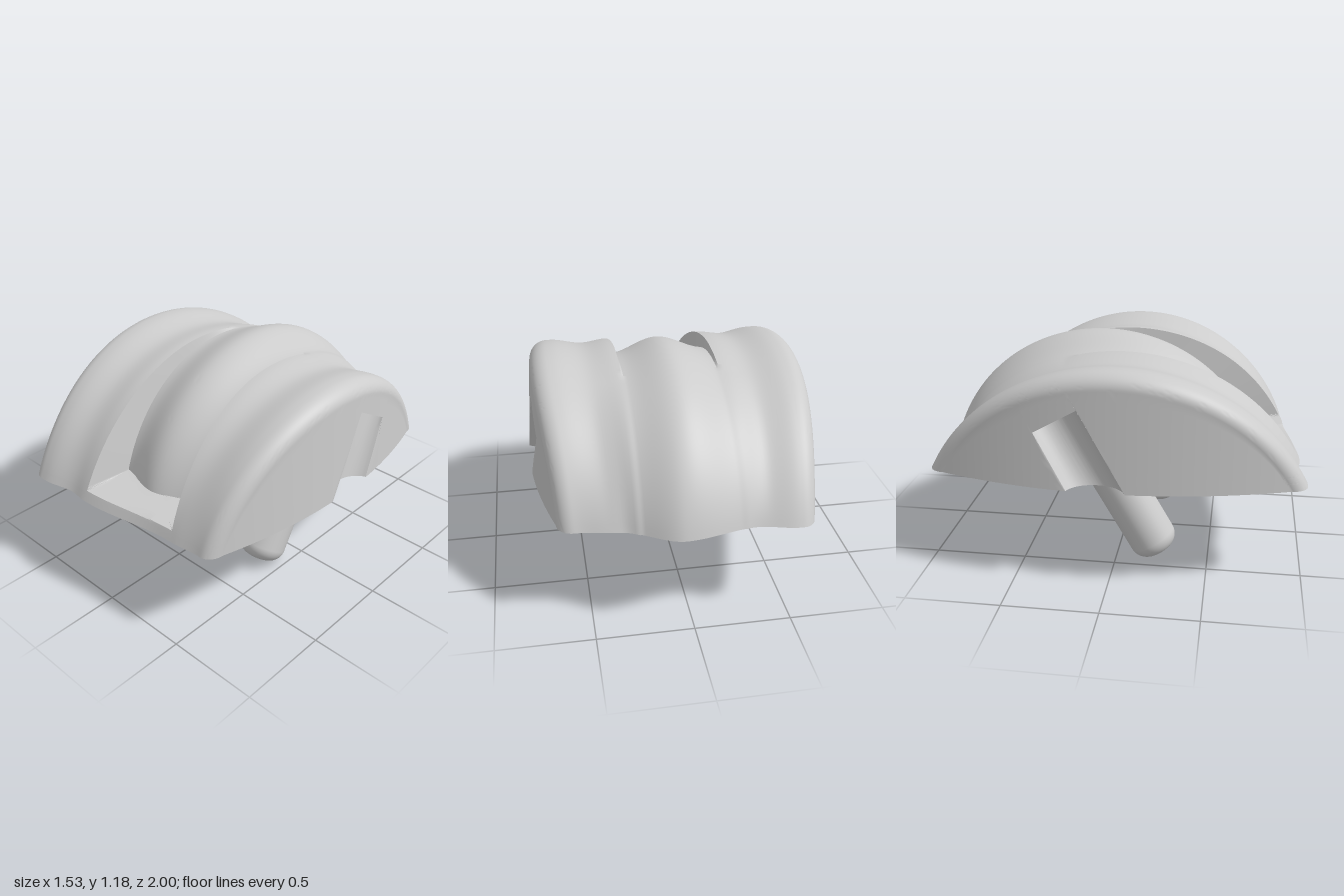
import * as THREE from 'three';
import { mergeGeometries, toCreasedNormals } from 'three/addons/utils/BufferGeometryUtils.js';

const BASE = 0.54, SHELF = 0.05, AXIS_Z = -0.055;
const TILT = Math.PI / 6, COS = Math.cos(TILT), SIN = Math.sin(TILT), TAN = Math.tan(TILT);

// Smooth interpolation between [x, value] keys
function key(pts, x) {
  if (x <= pts[0][0]) return pts[0][1];
  for (let i = 1; i < pts.length; i++) {
    if (x > pts[i][0]) continue;
    const [x0, a] = pts[i - 1], [x1, b] = pts[i];
    return THREE.MathUtils.lerp(a, b, THREE.MathUtils.smoothstep(x, x0, x1));
  }
  return pts[pts.length - 1][1];
}
const BACK = [[-0.62, -0.975], [-0.33, -0.935], [0.05, -1], [0.36, -0.875], [0.62, -0.845]];
const FRONT = [[-0.6, 1], [-0.33, 0.965], [-0.2, 0.975], [0.4, 0.9], [0.62, 0.885]];
const TOP = [[-0.62, 1.145], [-0.43, 1.115], [-0.27, 1.135], [0.27, 1.135], [0.43, 1.115], [0.62, 1.145]];
const MID_FRONT = [[-0.2, 0.69], [0.05, 0.745], [0.3, 0.66]];
const MID_TOP = [[-0.27, 1.105], [0, 1.185], [0.27, 1.105]];

// Distance from the base centre line to the arc over (zB, zF, top); angle 0 is the back, PI the front
function arcRadius(zB, zF, top, a) {
  const c = (zB + zF) / 2, w = (zF - zB) / 2, h = top - BASE;
  const r = (w * w + h * h) / (2 * h), cy = h - r;
  const b = -Math.cos(a) * c + Math.sin(a) * cy;
  return b + Math.sqrt(b * b - c * c - cy * cy + r * r);
}
const outerR = (x, a) => arcRadius(key(BACK, x), key(FRONT, x), key(TOP, x), a);
const middleR = (x, a) => arcRadius(key(BACK, x), key(MID_FRONT, x), key(MID_TOP, x), a);
const at = (x, r, a) => new THREE.Vector3(x, BASE + r * Math.sin(a), -r * Math.cos(a));
const flare = (a) => (a > Math.PI / 2 ? 1 - Math.sin(a) : 0);
const halfWidth = (y, z) => 0.765 - 0.07 * (y - BASE) - 0.17 * (z / 0.95) ** 2;

// Middle saddle, ending at the front in a flat shelf
function middlePoint(k, a) {
  const f = flare(a), x = THREE.MathUtils.lerp(-0.25 + 0.07 * f, 0.25 + 0.06 * f, k);
  let r = middleR(x, a);
  if (a > Math.PI / 2) r = Math.max(r, Math.min(SHELF / Math.max(Math.sin(a), 1e-6), outerR(x, a)));
  return at(x, r, a);
}

// Outer lobe from the slot edge (s = 0) to the rounded shoulder (s = 1)
function lobePoint(side, s, a) {
  const edge = side > 0 ? 0.26 + 0.12 * flare(a) : -0.26 + 0.07 * flare(a);
  const xn = THREE.MathUtils.lerp(edge, side * 0.74, s);
  const rim = at(0, outerR(side * 0.74, a) - 0.085, a);
  const x = THREE.MathUtils.lerp(edge, side * halfWidth(rim.y, rim.z), s);
  const q = THREE.MathUtils.clamp((Math.abs(xn) - 0.64) / 0.1, 0, 1);
  let r = outerR(xn, a);
  const lift = Math.max(0, middleR(side * 0.25, a) - outerR(edge, a));
  r += lift * (1 - THREE.MathUtils.smoothstep(s, 0, 0.4)) - 0.085 * (1 - Math.sqrt(1 - q * q));
  return at(x, r, a);
}

// Angles at which the edges of the side groove meet the shoulder
function grooveAngle(side, z0) {
  let lo = 0, hi = 2;
  for (let i = 0; i < 40; i++) {
    const m = (lo + hi) / 2, p = lobePoint(side, 1, m);
    if (p.z + (p.y - BASE) * TAN < z0) lo = m; else hi = m;
  }
  return lo;
}

// Side wall column from the shoulder down to the base, with the tilted groove
function wallColumn(side, a, [ga, gb]) {
  const top = lobePoint(side, 1, a), zEdge = 0.15;
  const inside = a >= ga - 1e-9 && a <= gb + 1e-9;
  let z0;
  if (inside) z0 = top.z + (top.y - BASE) * TAN;
  else if (a < ga) z0 = THREE.MathUtils.lerp(lobePoint(side, 1, 0).z, AXIS_Z - zEdge, a / ga);
  else z0 = THREE.MathUtils.lerp(AXIS_Z + zEdge, lobePoint(side, 1, Math.PI).z, (a - gb) / (Math.PI - gb));
  const foot = new THREE.Vector3(0, BASE, z0);
  const len = Math.hypot(top.y - BASE, top.z - z0);
  const stop = inside ? (0.41 + SIN * (z0 - AXIS_Z)) / len : 0.5;
  const d = (z0 - AXIS_Z) * COS;
  const depth = inside ? Math.max(0, Math.sqrt(Math.max(0, 0.135 ** 2 - d * d)) - 0.035) : 0;
  const col = [];
  const add = (t, cut) => {
    const p = foot.clone().lerp(top, t);
    p.x = side * (halfWidth(p.y, p.z) - cut);
    col.push(p);
  };
  for (let i = 1; i <= 5; i++) add(THREE.MathUtils.lerp(1, stop, i / 5), 0);
  for (let i = 0; i <= 5; i++) add(stop * (1 - i / 5), depth);
  return col;
}

// Surface through equally long columns of points
function skin(cols, flip) {
  const n = cols[0].length, index = [];
  for (let i = 0; i < cols.length - 1; i++) for (let j = 0; j < n - 1; j++) {
    const a = i * n + j, b = a + n, c = b + 1, d = a + 1;
    index.push(...(flip ? [a, c, b, a, d, c] : [a, b, c, a, c, d]));
  }
  const g = new THREE.BufferGeometry().setFromPoints(cols.flat());
  g.setIndex(index);
  return g;
}
const steps = (n, f) => Array.from({ length: n + 1 }, (_, i) => f(i / n));

export function createModel() {
  const group = new THREE.Group();
  const grey = new THREE.MeshStandardMaterial({ color: 0xcccccc });
  const addMesh = (geometry, name, material = grey) => {
    const m = new THREE.Mesh(geometry, material);
    m.name = name;
    group.add(m);
    return m;
  };

  // Shared angles, denser at the grooves and the shelf
  const grooves = {};
  for (const s of [1, -1]) grooves[s] = [grooveAngle(s, AXIS_Z - 0.15), grooveAngle(s, AXIS_Z + 0.15)];
  const angles = [
    ...steps(80, (t) => t * Math.PI),
    ...steps(12, (t) => Math.PI - 0.09 + 0.045 * t),
    ...[1, -1].flatMap((s) => steps(16, (t) => THREE.MathUtils.lerp(...grooves[s], t))),
  ].sort((a, b) => a - b);

  // Body: middle saddle, and per side the slot wall, lobe and side wall
  const across = steps(28, (k) => k);
  const out = steps(30, (k) => Math.sin(k * Math.PI / 2));
  const parts = [skin(angles.map((a) => across.map((k) => middlePoint(k, a))), false)];
  const feet = {};
  for (const s of [1, -1]) {
    const cols = angles.map((a) => [
      middlePoint(s > 0 ? 1 : 0, a),
      ...out.map((k) => lobePoint(s, k, a)),
      ...wallColumn(s, a, grooves[s]),
    ]);
    feet[s] = cols.map((c) => c[c.length - 1]);
    parts.push(skin(cols, s < 0));
  }

  // Flat underside with two openings for the pins
  const rim = (a) => [
    ...[...out].reverse().map((k) => lobePoint(1, k, a)),
    ...[...across].reverse().map((k) => middlePoint(k, a)),
    ...out.map((k) => lobePoint(-1, k, a)),
  ];
  const outline = [...feet[1], ...rim(Math.PI), ...feet[-1].reverse(), ...rim(0).reverse()];
  const clean = outline.filter((p, i) => i === 0 || Math.hypot(p.x - outline[i - 1].x, p.z - outline[i - 1].z) > 1e-4);
  const shape = new THREE.Shape(clean.map((p) => new THREE.Vector2(p.x, p.z)));
  for (const s of [1, -1]) {
    shape.holes.push(new THREE.Path().absellipse(s * 0.37, AXIS_Z, 0.17, 0.19, 0, Math.PI * 2, true));
  }
  const under = new THREE.ShapeGeometry(shape, 24).rotateX(Math.PI / 2).translate(0, BASE, 0);
  under.deleteAttribute('normal');
  under.deleteAttribute('uv');
  parts.push(under);
  addMesh(toCreasedNormals(mergeGeometries(parts), 0.6), 'body');

  // Tilted pins with rounded ends, set in tapered sockets
  const length = 0.762, profile = [new THREE.Vector2(0, 0)];
  for (const v of steps(10, (t) => t * Math.PI / 2)) {
    profile.push(new THREE.Vector2(0.05 + 0.08 * Math.sin(v), 0.08 - 0.08 * Math.cos(v)));
  }
  profile.push(new THREE.Vector2(0.13, length));
  const pin = new THREE.LatheGeometry(profile, 48);
  const thin = new THREE.MeshStandardMaterial({ color: 0xcccccc, side: THREE.DoubleSide });
  for (const s of [1, -1]) {
    const name = s > 0 ? 'left' : 'right';
    const m = addMesh(pin, name + 'Pin');
    m.position.set(s * 0.37, 0.04, AXIS_Z + (BASE - 0.04) * TAN);
    m.rotation.x = -TILT;
    const socket = skin(steps(48, (t) => [0, 1].map((v) => new THREE.Vector3(
      s * 0.37 + (0.17 - 0.04 * v) * Math.cos(t * Math.PI * 2),
      BASE + 0.08 * v,
      AXIS_Z - 0.08 * TAN * v + (0.19 - 0.04 * v) * Math.sin(t * Math.PI * 2)))), false);
    socket.computeVertexNormals();
    addMesh(socket, name + 'Socket', thin);
  }
  return group;
}
